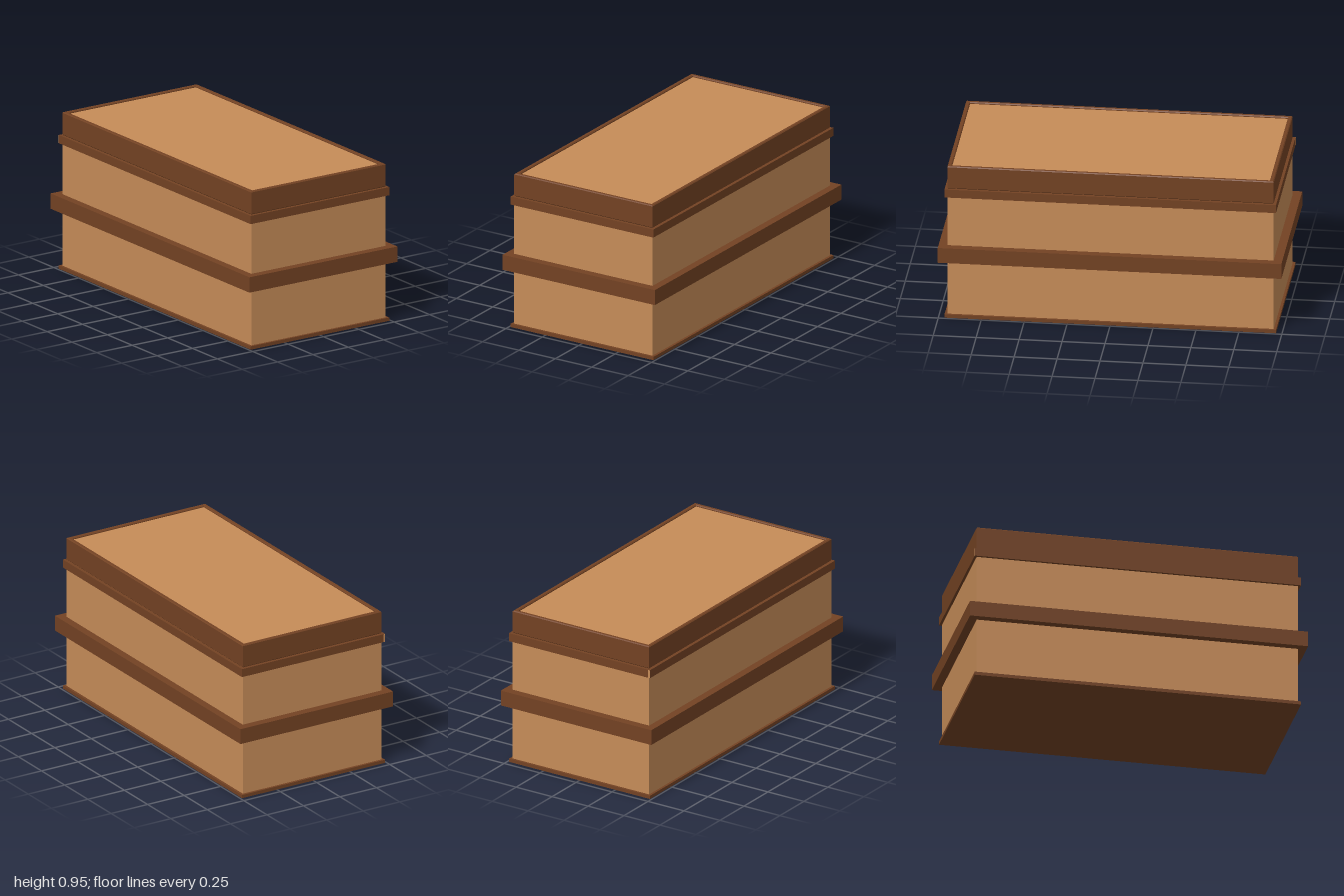
import * as THREE from 'three';

export function createModel() {
  const model = new THREE.Group();
  model.name = 'chest';
  const tan = new THREE.MeshStandardMaterial({ name: 'tan wood', color: 0xc68c58 });
  const brown = new THREE.MeshStandardMaterial({ name: 'dark brown wood', color: 0x734223 });

  // Box given by half width, half length, bottom and top heights
  function slab(name, hx, hz, y0, y1, material) {
    const mesh = new THREE.Mesh(new THREE.BoxGeometry(hx * 2, y1 - y0, hz * 2), material);
    mesh.position.y = (y0 + y1) / 2;
    mesh.name = name;
    model.add(mesh);
    return mesh;
  }

  // Rectangular outline, as a shape or a hole
  function rectangle(Type, hx, hz) {
    const path = new Type();
    path.moveTo(-hx, -hz);
    path.lineTo(hx, -hz);
    path.lineTo(hx, hz);
    path.lineTo(-hx, hz);
    path.closePath();
    return path;
  }

  // Body and horizontal bands
  slab('body', 0.475, 0.95, 0.01, 0.8, tan);
  slab('basePlate', 0.49, 0.965, 0, 0.02, brown);
  slab('middleBand', 0.523, 1, 0.36, 0.453, brown);
  slab('lidBand', 0.49, 0.965, 0.76, 0.81, brown);

  // Lid rim: hollow frame with a small chamfer on every edge
  const chamfer = 0.005;
  const frame = rectangle(THREE.Shape, 0.475 - chamfer, 0.95 - chamfer);
  frame.holes.push(rectangle(THREE.Path, 0.45 + chamfer, 0.925 + chamfer));
  const rimGeometry = new THREE.ExtrudeGeometry(frame, {
    depth: 0.13,
    bevelEnabled: true,
    bevelSize: chamfer,
    bevelThickness: chamfer,
    bevelSegments: 1,
  });
  rimGeometry.rotateX(-Math.PI / 2);
  const rim = new THREE.Mesh(rimGeometry, brown);
  rim.name = 'lidRim';
  rim.position.y = 0.812 + chamfer - 0.002;
  model.add(rim);

  // Lid panel, slightly sunk inside the rim
  slab('lidPanel', 0.452, 0.927, 0.8, 0.94, tan);

  // Bare wood at the open end of the lid band, back corner
  const bandEnd = slab('lidBandEnd', 0.006, 0.002, 0.761, 0.809, tan);
  bandEnd.position.x = -0.484;
  bandEnd.position.z = -0.964;

  return model;
}
